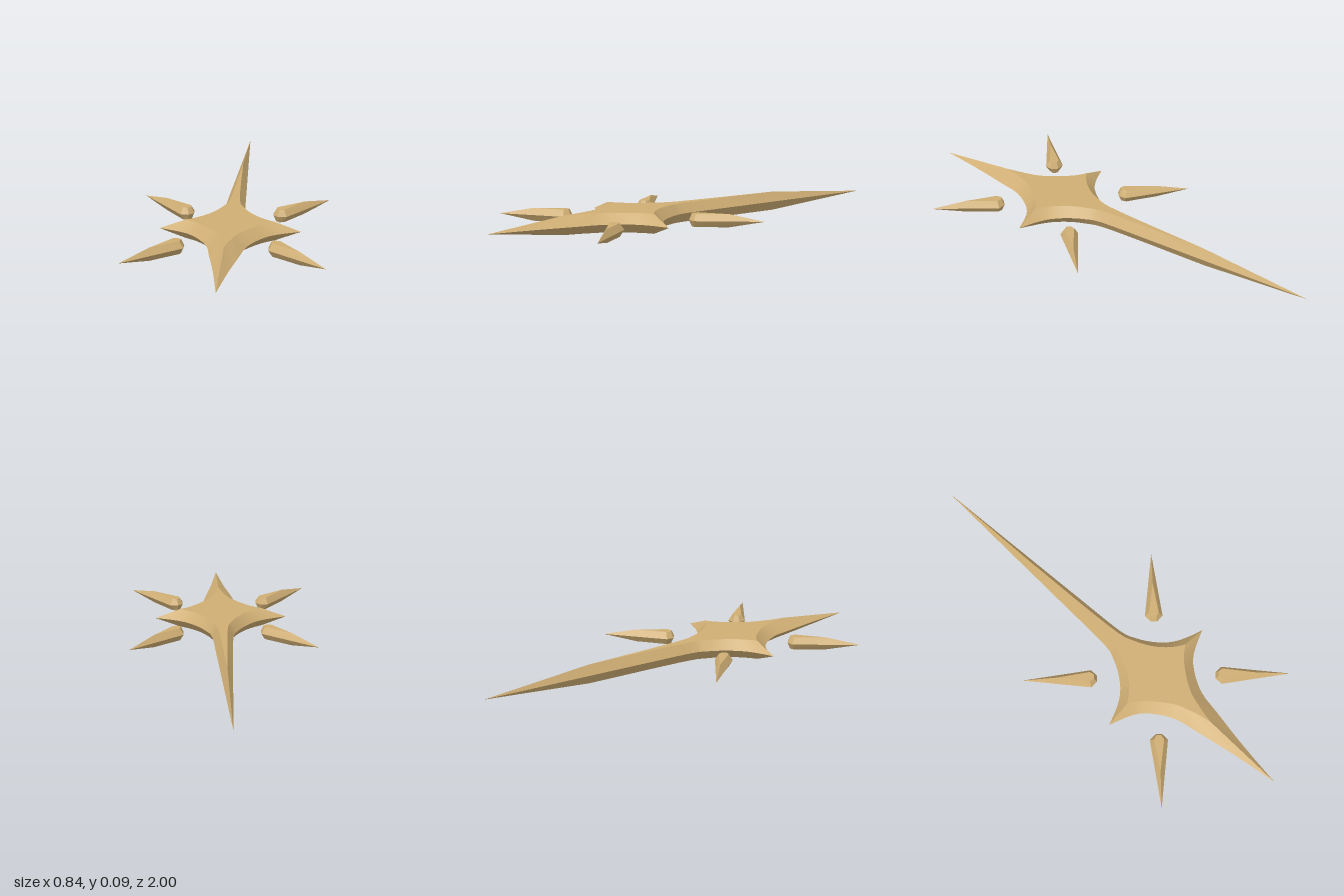
import * as THREE from 'three';
import { mergeGeometries } from 'three/addons/utils/BufferGeometryUtils.js';

const MID = 0.043; // height of the sharp edge

// Indexed mesh data with smooth normals inside the piece only
function surface(points, index) {
  const g = new THREE.BufferGeometry();
  g.setAttribute('position', new THREE.Float32BufferAttribute(points.flat(), 3));
  g.setIndex(index);
  g.computeVertexNormals();
  return g;
}

// Bevel running from the sharp edge to the flat face, along one side
function bevel(side, h) {
  const pts = [], idx = [];
  side.outer.forEach((o, i) => {
    const n = side.inner[i];
    pts.push([o.x, 0, o.y], [n.x, h, n.y]);
    if (i === 0) return;
    const a = 2 * i - 2, b = a + 1, c = a + 2, d = a + 3;
    if (h > 0) idx.push(a, c, b, c, d, b);
    else idx.push(a, b, c, c, b, d);
  });
  return surface(pts, idx);
}

// Flat face fanned from a middle point
function cap(sides, centre, h) {
  const rim = sides.flatMap((s) => s.inner.slice(0, -1));
  const pts = [[centre[0], h, centre[1]], ...rim.map((p) => [p.x, h, p.y])];
  const idx = [];
  rim.forEach((_, i) => {
    const a = i + 1, b = ((i + 1) % rim.length) + 1;
    if (h > 0) idx.push(0, a, b);
    else idx.push(0, b, a);
  });
  return surface(pts, idx);
}

// Double-sided bevelled blade from a closed ring of sides
function blade(sides, centre, h) {
  const parts = [];
  for (const y of [h, -h]) {
    sides.forEach((s) => parts.push(bevel(s, y)));
    parts.push(cap(sides, centre, y));
  }
  return mergeGeometries(parts);
}

const vecs = (list) => list.map(([x, z]) => new THREE.Vector2(x, z));
const curve = (list) => new THREE.SplineCurve(vecs(list)).getPoints((list.length - 1) * 3);
const mapSide = (s, f) => ({ outer: f(s.outer), inner: f(s.inner) });
const mirror = (s) => mapSide(s, (l) => l.map((p) => new THREE.Vector2(-p.x, p.y)));
const reverse = (s) => mapSide(s, (l) => [...l].reverse());

export function createModel() {
  const model = new THREE.Group();
  model.name = 'starOrnament';
  const gold = new THREE.MeshStandardMaterial({ color: 0xcfae74 });
  gold.name = 'paleGold';

  // Four-pointed star with one long point at the back
  const back = {
    outer: curve([[0.305, 0.305], [0.23, 0.277], [0.165, 0.24], [0.11, 0.18], [0.07, 0.11],
      [0.048, 0.035], [0.036, -0.2], [0.018, -0.6], [0, -1]]),
    inner: curve([[0.19, 0.305], [0.16, 0.285], [0.12, 0.25], [0.078, 0.195], [0.045, 0.125],
      [0.024, 0.05], [0.012, -0.15], [0.005, -0.35], [0, -0.48]]),
  };
  const front = {
    outer: curve([[0.305, 0.305], [0.2, 0.35], [0.138, 0.407], [0.085, 0.5], [0.063, 0.61],
      [0.03, 0.79], [0, 1]]),
    inner: curve([[0.19, 0.305], [0.14, 0.34], [0.088, 0.4], [0.045, 0.465], [0.024, 0.525],
      [0.01, 0.575], [0, 0.63]]),
  };
  const ring = [back, reverse(mirror(back)), mirror(front), reverse(front)];
  const star = new THREE.Mesh(blade(ring, [0, 0.305], 0.043), gold);
  star.name = 'star';
  star.position.y = MID;
  model.add(star);

  // Four loose spikes set diagonally around the star
  const outer = vecs([[0.594, 0], [0.29, -0.04], [0.264, -0.015], [0.264, 0.015], [0.29, 0.04]]);
  const inner = vecs([[0.439, 0], [0.296, -0.022], [0.276, -0.01], [0.276, 0.01], [0.296, 0.022]]);
  const spikeSides = outer.map((o, i) => ({
    outer: [o, outer[(i + 1) % 5]],
    inner: [inner[i], inner[(i + 1) % 5]],
  }));
  const spikeGeometry = blade(spikeSides, [0.32, 0], 0.029);
  ['backLeftSpike', 'backRightSpike', 'frontRightSpike', 'frontLeftSpike'].forEach((name, i) => {
    const spike = new THREE.Mesh(spikeGeometry, gold);
    spike.name = name;
    spike.position.set(0, MID, 0.305);
    spike.rotation.y = Math.PI / 4 + (i * Math.PI) / 2;
    model.add(spike);
  });
  return model;
}
